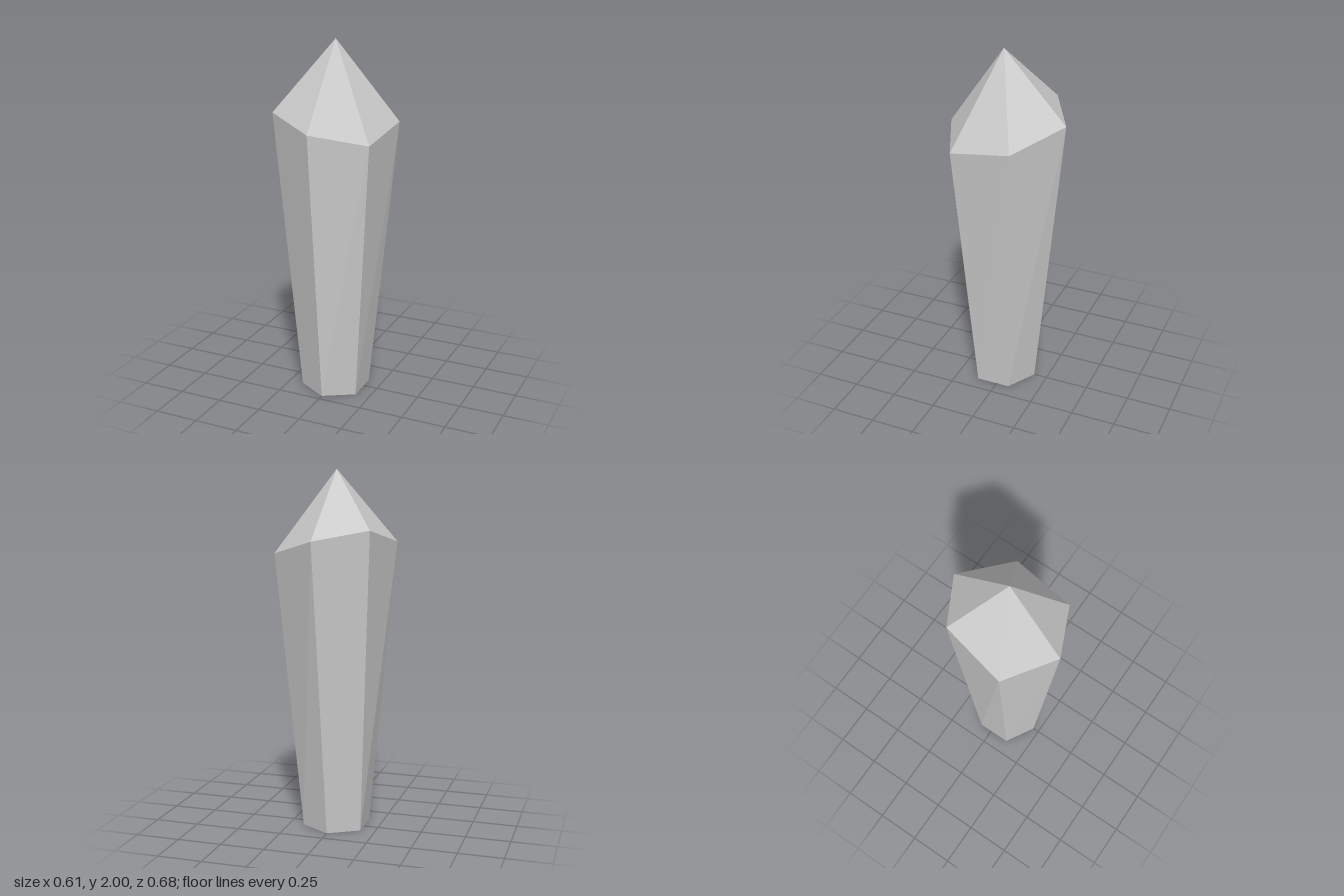
import * as THREE from 'three';

const SIDES = 6;
const CENTRE_Z = 0.021;
const BASE_RADIUS = 0.193;

// Uneven shoulder of the crystal, clockwise seen from above, starting at the back
const shoulder = [
  [0.031, 1.635, -0.34], [0.305, 1.55, -0.138], [0.275, 1.49, 0.209],
  [-0.017, 1.547, 0.34], [-0.306, 1.605, 0.167], [-0.243, 1.687, -0.188],
];

// Flat-shaded mesh from a list of triangles
function facetedMesh(name, triangles) {
  const geometry = new THREE.BufferGeometry();
  geometry.setAttribute('position', new THREE.Float32BufferAttribute(triangles.flat(2), 3));
  geometry.computeVertexNormals();
  const mesh = new THREE.Mesh(geometry, new THREE.MeshStandardMaterial({ color: 0xcccccc, flatShading: true }));
  mesh.name = name;
  return mesh;
}

export function createModel() {
  const group = new THREE.Group();
  group.name = 'crystal';

  // Regular hexagon at the foot
  const foot = shoulder.map((_, i) => {
    const a = (i / SIDES) * Math.PI * 2;
    return [BASE_RADIUS * Math.sin(a), 0, CENTRE_Z - BASE_RADIUS * Math.cos(a)];
  });
  const apex = [0, 2, CENTRE_Z];
  const footCentre = [0, 0, CENTRE_Z];

  const shaft = [], tip = [], base = [];
  for (let i = 0; i < SIDES; i++) {
    const j = (i + 1) % SIDES;
    shaft.push([foot[j], foot[i], shoulder[i]], [foot[j], shoulder[i], shoulder[j]]);
    tip.push([shoulder[j], shoulder[i], apex]);
    base.push([footCentre, foot[i], foot[j]]);
  }

  group.add(facetedMesh('shaft', shaft), facetedMesh('tip', tip), facetedMesh('base', base));
  return group;
}
